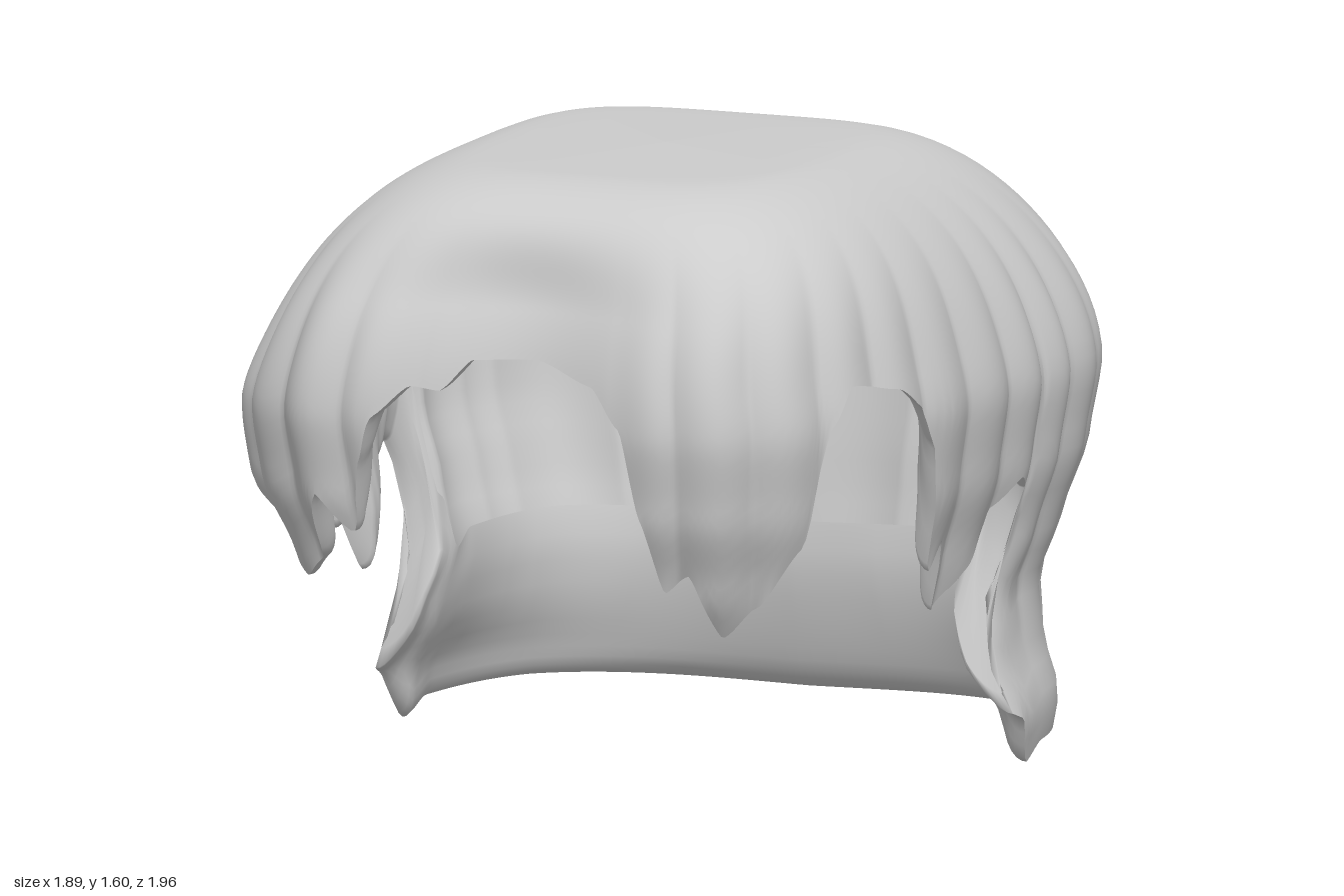
import * as THREE from 'three';

const COLS = 600, ROWS = 44;
const { smoothstep, degToRad, lerp } = THREE.MathUtils;

// Smoothly interpolated lookup in a short list of [key, value] pairs
function lookup(table, k) {
  if (k <= table[0][0]) return table[0][1];
  for (let i = 1; i < table.length; i++) {
    const [k0, v0] = table[i - 1], [k1, v1] = table[i];
    if (k <= k1) {
      const t = (k - k0) / (k1 - k0);
      return v0 + (v1 - v0) * (0.5 * t + 0.5 * t * t * (3 - 2 * t));
    }
  }
  return table[table.length - 1][1];
}
const bump = (a, centre, width) => Math.exp(-(((a - centre) / width) ** 2));

// Hem height by angle from the front: sides, tail tips and nape
const SIDE = [[70, 1.04], [73, 0.93], [75, 0.75], [76.5, 0.58], [80, 0.66], [82.5, 0.46], [86, 0.51],
  [90, 0.56], [96, 0.7], [101, 0.77], [104.5, 0.73], [106, 0.5], [107, 0.16], [109.5, 0.14], [112, 0.01],
  [116, 0.05], [135, 0.06], [180, 0.04]];
const HEM_LEFT = [[0, 1.18], [13.5, 1.13], [20, 1.03], [24, 0.8], [28.5, 0.6], [33, 0.65], [38, 0.48],
  [44, 0.56], [50, 0.72], [53.5, 1.03], [57, 1.13], [65, 1.1], ...SIDE];
const HEM_RIGHT = [[0, 1.18], [13, 1.17], [18, 1.09], [23, 1.1], [28, 1.02], [31, 0.9], [35, 0.7],
  [39, 0.8], [44, 0.62], [49, 0.55], [58, 0.75], [66, 1.0], ...SIDE];
const hemAt = (deg) => lookup(deg >= 0 ? HEM_LEFT : HEM_RIGHT, Math.abs(deg));

// Half-widths by height, below the widest level
const SIDE_LOW = [[0, 0.91], [0.14, 0.93], [0.3, 0.86], [0.45, 0.83], [0.6, 0.87], [0.8, 0.93], [1, 0.96]];
const BACK_LOW = [[0, 0.97], [0.1, 0.95], [0.4, 0.92], [0.6, 0.94], [1, 0.98]];
const FRONT_LOW = [[0.45, 0.84], [0.6, 0.92], [0.8, 0.99], [1, 1.02]];

// Rounded crown above the widest level, lookup below it
function halfWidth(y, low, base, power) {
  if (y <= 1) return lookup(low, y);
  const max = low[low.length - 1][1];
  const t = Math.min(1, (y - 1) / 0.6);
  return base + (max - base) * Math.pow(1 - Math.pow(t, power), 1 / power);
}

// Raised locks separated by creases, broad at the back and finer at the sides
function locks(deg, y) {
  const a = Math.abs(deg);
  const fade = smoothstep(1.6 - y, 0.05, 0.5);
  const back = smoothstep(a, 110, 140);
  const broad = Math.abs(Math.sin(degToRad(deg * 11 + 8))) - 0.65;
  const fine = Math.abs(Math.sin(degToRad(deg * 17 + 30 * Math.sin(deg * 0.11) + 25 * y))) - 0.65;
  const front = smoothstep(a, 16, 34);
  const nape = lerp(1, smoothstep(y, 0.15, 0.7), smoothstep(a, 100, 115));
  return fade * nape * (back * 0.028 * broad + (1 - back) * front * 0.026 * fine);
}

// Point on the hair at an angle and height; scale shrinks it toward the crown
function hairPoint(deg, y, scale, inset) {
  const r = degToRad(deg), s = Math.sin(r), c = Math.cos(r);
  // squarish plan, rounder at the corners of the nape
  const n = c < 0 ? lerp(2.7, 4.2, smoothstep(y, 0, 0.8)) : 4.2;
  const k = Math.pow(Math.abs(s) ** n + Math.abs(c) ** n, -1 / n);
  const grow = locks(deg, y) * scale - inset;
  const depth = c > 0 ? halfWidth(y, FRONT_LOW, 0.45, 2) : halfWidth(y, BACK_LOW, 0.45, 2.2);
  const cz = k * c;
  let x = k * s * (halfWidth(y, SIDE_LOW, 0.42, 1.7) + grow) * scale;
  let z = cz * (depth + grow) * scale;
  // sides taper toward the fringe, with one fuller lock on the right
  x *= 1 - 0.13 * Math.max(0, cz) ** 2;
  const below = smoothstep(1.6 - y, 0, 0.5);
  if (deg > 0) x *= 1 - below * (0.04 + 0.09 * z);
  else x *= 1 - below * 0.04 + 0.08 * bump(deg, -58, 9) * bump(y, 0.85, 0.3);
  // shallow dip in the middle of the fringe
  if (c > 0) z -= 0.15 * bump(x, -0.08, 0.38) * cz * scale * smoothstep(1.6 - y, 0, 0.3);
  // tail tips curl forward
  z += 0.13 * bump(Math.abs(deg), 107, 9) * smoothstep(0.65 - y, 0, 0.4);
  return [x, y, z];
}

// Closed ring of columns, one row per step from the top down
function ringSurface(rows, point) {
  const pos = [], index = [];
  for (let j = 0; j <= rows; j++) {
    for (let i = 0; i < COLS; i++) pos.push(...point(-180 + (i * 360) / COLS, j / rows));
  }
  for (let j = 0; j < rows; j++) {
    for (let i = 0; i < COLS; i++) {
      const i2 = (i + 1) % COLS;
      const a = j * COLS + i, b = a + COLS, c = j * COLS + i2, d = c + COLS;
      index.push(a, b, c, b, d, c);
    }
  }
  const g = new THREE.BufferGeometry();
  g.setAttribute('position', new THREE.Float32BufferAttribute(pos, 3));
  g.setIndex(index);
  g.computeVertexNormals();
  return g;
}

export function createModel() {
  const group = new THREE.Group();
  group.name = 'hair';
  const material = new THREE.MeshStandardMaterial({ color: 0xcccccc, side: THREE.DoubleSide });
  const add = (name, geometry) => {
    const mesh = new THREE.Mesh(geometry, material);
    mesh.name = name;
    group.add(mesh);
  };

  // Outer hair: flat crown, rounded shoulder, then strands falling to the hem
  add('outerHair', ringSurface(ROWS, (deg, v) => {
    if (v < 0.12) return hairPoint(deg, 1.6 + 0.008 * (1 - v / 0.12), Math.max(0.001, v / 0.12), 0);
    const u = (v - 0.12) / 0.88;
    return hairPoint(deg, 1.6 - (1.6 - hemAt(deg)) * Math.pow(u, 1.6), 1, 0);
  }));

  // Lining folded up inside the hem, giving the locks their thickness
  add('innerLining', ringSurface(12, (deg, v) => {
    const hem = hemAt(deg), rise = Math.min(0.45, (1.35 - hem) * 0.8);
    const y = hem + rise * v * v;
    return hairPoint(deg, y, 1, 0.1 * Math.sin((v * Math.PI) / 2) + locks(deg, y) * v);
  }));

  return group;
}
